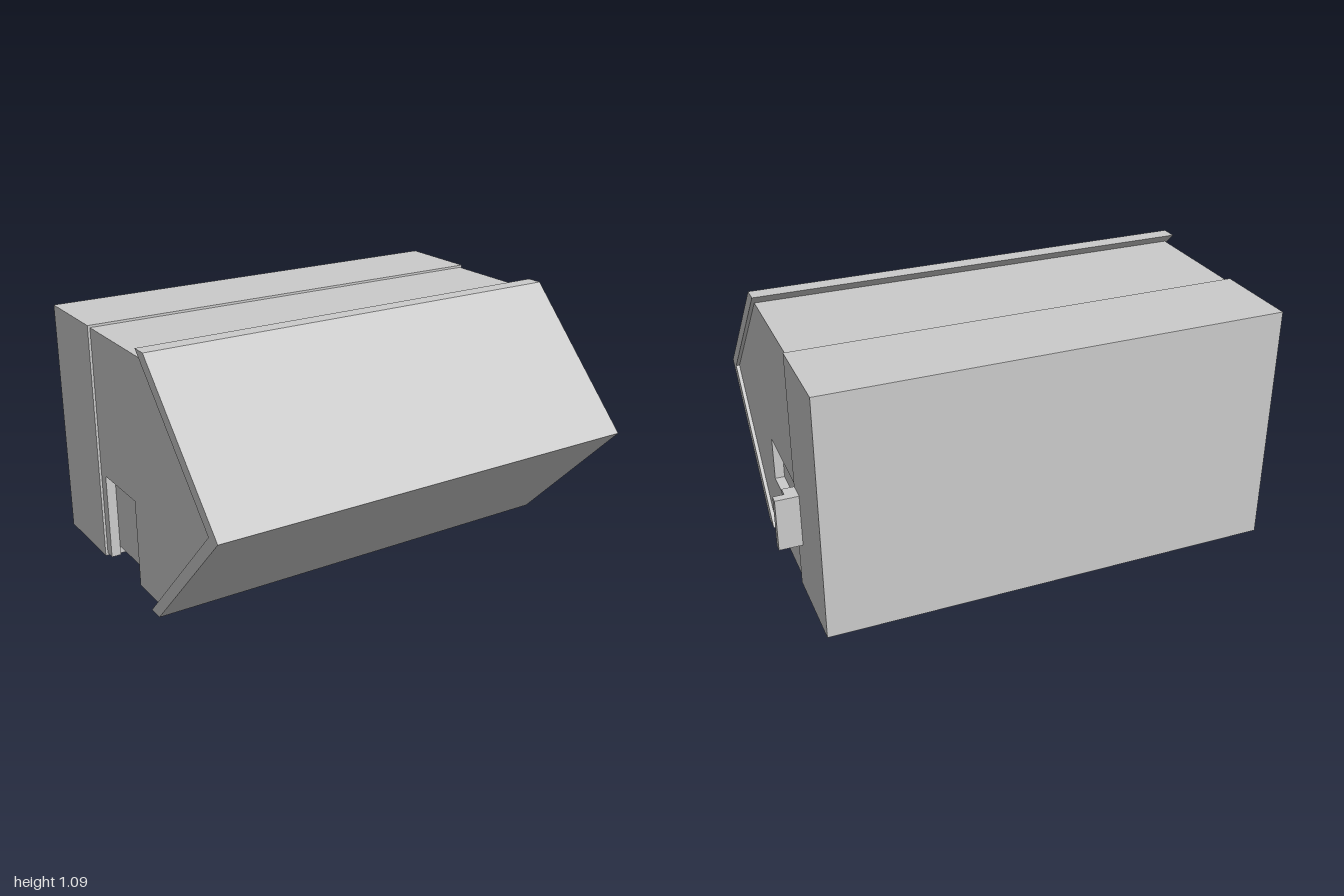
import * as THREE from 'three';

const material = new THREE.MeshStandardMaterial({ color: 0xcccccc, flatShading: true });

const toShape = (points, holes = []) => {
  const shape = new THREE.Shape(points.map(([u, v]) => new THREE.Vector2(u, v)));
  for (const h of holes) shape.holes.push(new THREE.Path(h.map(([u, v]) => new THREE.Vector2(u, v))));
  return shape;
};

// Extrudes a [z, y] outline along x, from x0 to x1
function alongX(name, points, x0, x1) {
  const shape = toShape(points.map(([z, y]) => [-z, y]));
  const geometry = new THREE.ExtrudeGeometry(shape, { depth: x1 - x0, bevelEnabled: false });
  geometry.rotateY(Math.PI / 2).translate(x0, 0, 0);
  const mesh = new THREE.Mesh(geometry, material);
  mesh.name = name;
  return mesh;
}

// Extrudes an [x, z] outline with holes along y, from y0 to y1
function alongY(name, points, holes, y0, y1) {
  const flip = (list) => list.map(([x, z]) => [x, -z]);
  const geometry = new THREE.ExtrudeGeometry(toShape(flip(points), holes.map(flip)), {
    depth: y1 - y0, bevelEnabled: false,
  });
  geometry.rotateX(-Math.PI / 2).translate(0, y0, 0);
  const mesh = new THREE.Mesh(geometry, material);
  mesh.name = name;
  return mesh;
}

function box(name, x0, x1, y0, y1, z0, z1) {
  const mesh = new THREE.Mesh(new THREE.BoxGeometry(x1 - x0, y1 - y0, z1 - z0), material);
  mesh.name = name;
  mesh.position.set((x0 + x1) / 2, (y0 + y1) / 2, (z0 + z1) / 2);
  return mesh;
}

const rect = (x0, x1, z0, z1) => [[x0, z0], [x1, z0], [x1, z1], [x0, z1]];

export function createModel() {
  const model = new THREE.Group();
  model.name = 'wedgeFrontedCase';

  const depth = 0.04; // depth of all recesses
  const left = 0.895, right = -0.985, low = 0.045, high = 1.05, back = -0.36;
  const nose = [[0.165, low], [0.66, 0.545], [0.165, high], [back, high]];

  // Rear housing
  model.add(box('rearHousing', -0.995, 0.905, 0.035, 1.06, -0.73, -0.355));

  // Body core, whose faces are the floors of the recesses
  model.add(alongX('bodyCore',
    [[back, low + depth], [0.204, low + depth], ...nose.slice(1)], right + depth, left - depth));

  // Left end panel with a slot open towards the housing
  model.add(alongX('leftEndPanel', [
    [back, low], ...nose,
    [back, 0.475], [0.06, 0.475], [0.06, 0.285], [back, 0.285],
  ], left - depth, left));

  // Right end panel with a doorway open at the bottom
  model.add(alongX('rightEndPanel', [
    [back, low], [-0.31, low], [-0.31, 0.42], [-0.015, 0.42], [-0.015, low], ...nose,
  ], right, right + depth));

  // Underside with a square pocket and a row of three, the last open to the doorway
  const x0 = right + depth, x1 = left - depth, z0 = -0.325, z1 = -0.015;
  model.add(alongY('bottomPanel', [
    [x0, back], [x1, back], [x1, 0.165], [x0, 0.165],
    [x0, z1], [-0.63, z1], [-0.63, z0], [x0, z0],
  ], [
    rect(0.4, 0.7, z0, z1),
    rect(-0.28, 0.05, z0, z1),
    rect(-0.61, -0.3, z0, z1),
  ], low, low + depth));

  // Folded front cover
  model.add(alongX('frontCover', [
    [0.19, 0], [0.73, 0.545], [0.19, 1.09], [0.12, 1.09], [0.66, 0.545], [0.12, 0],
  ], -1, 0.91));

  // L-shaped handle on the left end of the housing
  model.add(alongY('handle', [
    [0.9, -0.432], [1, -0.432], [1, -0.398], [0.955, -0.398], [0.955, -0.357], [0.9, -0.357],
  ], [], 0.265, 0.49));

  return model;
}
